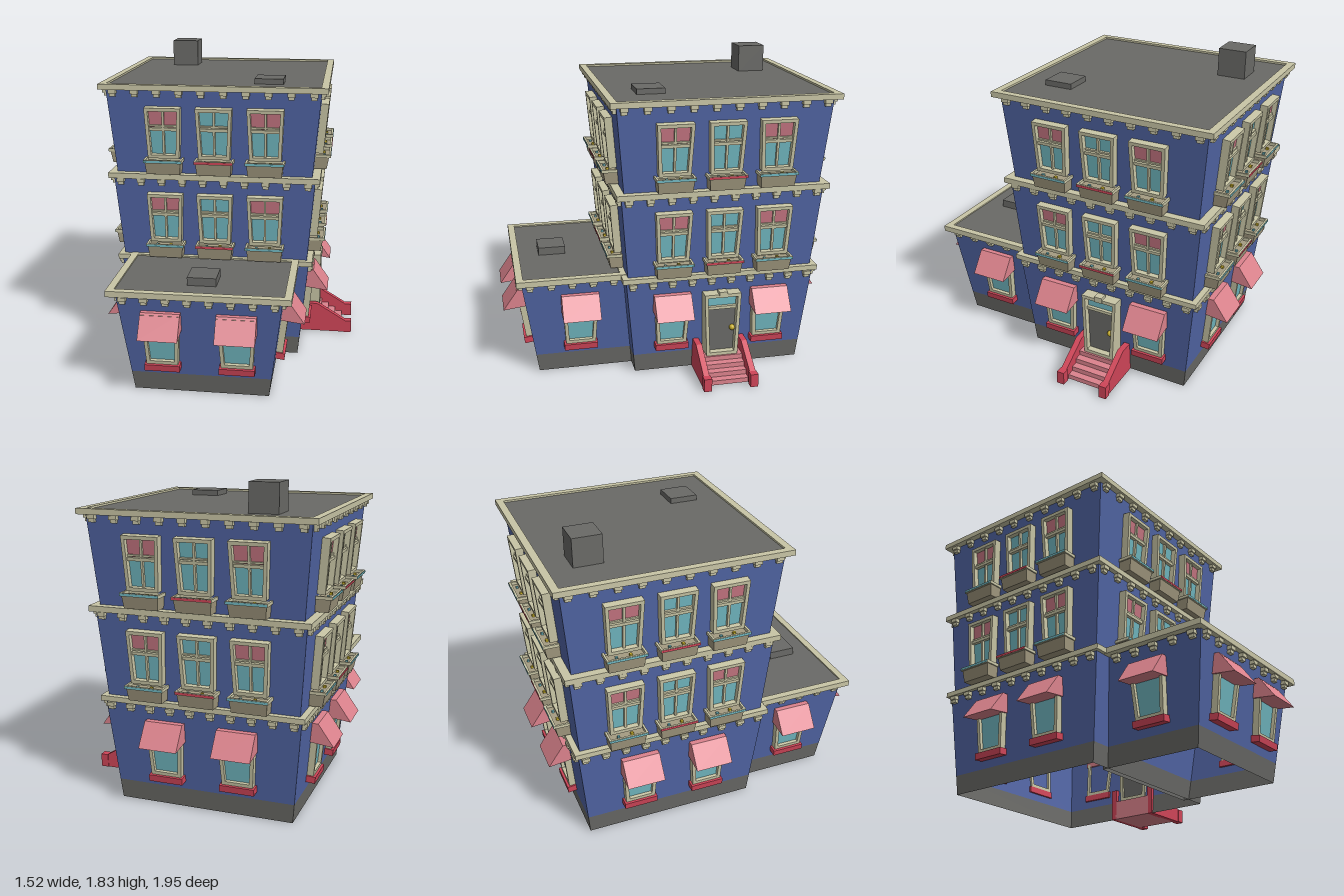
import * as THREE from 'three';

const mat = (name, color, side = THREE.FrontSide) => {
  const m = new THREE.MeshStandardMaterial({ color, side });
  m.name = name;
  return m;
};
const blue = mat('blue wall', 0x5266a6, THREE.DoubleSide);
const grey = mat('grey stone', 0x6a6a67, THREE.DoubleSide);
const cream = mat('cream trim', 0xc9c6a6);
const tan = mat('tan planter', 0xa59c82);
const teal = mat('teal glass', 0x72b9c2);
const pink = mat('pink awning', 0xdc838d);
const rose = mat('rose curtain', 0xc67682);
const red = mat('red paint', 0xcf4558);
const gold = mat('gold', 0xc9b02c);

const CX = -0.06, CZ = -0.275;

function add(parent, name, geo, material, x = 0, y = 0, z = 0) {
  const m = new THREE.Mesh(geo, material);
  m.name = name;
  m.position.set(x, y, z);
  parent.add(m);
  return m;
}
const box = (parent, name, material, w, h, d, x, y, z) =>
  add(parent, name, new THREE.BoxGeometry(w, h, d), material, x, y, z);

// Four leaning walls with a lid and an open underside; rect = [x0, x1, z0, z1]
function taperedWalls(parent, name, material, y0, y1, low, high) {
  const g = new THREE.BoxGeometry(1, 1, 1);
  const p = g.attributes.position;
  for (let i = 0; i < p.count; i++) {
    const up = p.getY(i) > 0, r = up ? high : low;
    p.setXYZ(i, p.getX(i) < 0 ? r[0] : r[1], up ? y1 : y0, p.getZ(i) < 0 ? r[2] : r[3]);
  }
  const idx = Array.from(g.index.array);
  g.setIndex([...idx.slice(0, 18), ...idx.slice(24)]);
  g.clearGroups();
  g.computeVertexNormals();
  return add(parent, name, g, material);
}

const trapezoid = (path, wLow, wHigh, y0, y1) => {
  path.moveTo(-wLow / 2, y0);
  path.lineTo(wLow / 2, y0);
  path.lineTo(wHigh / 2, y1);
  path.lineTo(-wHigh / 2, y1);
  path.closePath();
  return path;
};
function frameGeo(wLow, wHigh, h, border, depth) {
  const s = trapezoid(new THREE.Shape(), wLow, wHigh, 0, h);
  s.holes.push(trapezoid(new THREE.Path(), wLow - 2 * border, wHigh - 2 * border, border, h - border));
  return new THREE.ExtrudeGeometry(s, { depth, bevelEnabled: false });
}
const plateGeo = (wLow, wHigh, y0, y1, depth = 0.006) =>
  new THREE.ExtrudeGeometry(trapezoid(new THREE.Shape(), wLow, wHigh, y0, y1), { depth, bevelEnabled: false });

// Rectangular rim with an open middle, lying flat
function rim(parent, name, x0, x1, z0, z1, y0, y1, border) {
  const s = trapezoid(new THREE.Shape(), x1 - x0, x1 - x0, -(z1 - z0) / 2, (z1 - z0) / 2);
  const w = x1 - x0 - 2 * border, d = (z1 - z0) / 2 - border;
  s.holes.push(trapezoid(new THREE.Path(), w, w, -d, d));
  const g = new THREE.ExtrudeGeometry(s, { depth: y1 - y0, bevelEnabled: false }).rotateX(-Math.PI / 2);
  add(parent, name, g, cream, (x0 + x1) / 2, y0, (z0 + z1) / 2);
}

// Leaning floors: half width at the foot and at the head
const square = (y0, y1, a, b) => ({ y0, y1, cx: CX, cz: CZ, low: [a, a], high: [b, b] });
const ground = square(0, 0.605, 0.51, 0.568);
const second = square(0.63, 1.125, 0.556, 0.596);
const third = square(1.15, 1.655, 0.578, 0.622);
const annex = { y0: 0, y1: 0.605, cx: CX, cz: 0.55, low: [0.385, 0.25], high: [0.46, 0.34] };

const FRONT = 0, LEFT = Math.PI / 2, BACK = Math.PI, RIGHT = -Math.PI / 2;
const SIDES = [FRONT, LEFT, BACK, RIGHT];

// Group set on a wall at offset u and height y, leaning with it; local +z points outwards
function onWall(parent, name, f, angle, u, y, lean = true) {
  const k = Math.abs(Math.sin(angle)) > 0.5 ? 0 : 1;
  const half = THREE.MathUtils.mapLinear(y, f.y0, f.y1, f.low[k], f.high[k]);
  const g = new THREE.Group();
  g.name = name;
  const s = Math.sin(angle), c = Math.cos(angle);
  g.position.set(f.cx + s * half + c * u, y, f.cz + c * half - s * u);
  g.rotation.order = 'YXZ';
  g.rotation.y = angle;
  if (lean) g.rotation.x = Math.atan((f.high[k] - f.low[k]) / (f.y1 - f.y0));
  parent.add(g);
  return g;
}

// Sash window with curtain, sill and planter
function sashWindow(parent, f, angle, u, y, middle) {
  const g = onWall(parent, 'sashWindow', f, angle, u, y);
  add(g, 'frame', frameGeo(0.185, 0.212, 0.3, 0.02, 0.057), cream, 0, 0, -0.012);
  add(g, 'glass', plateGeo(0.16, 0.185, 0.01, 0.29), teal, 0, 0, 0.008);
  if (!middle) add(g, 'curtain', plateGeo(0.166, 0.18, 0.18, 0.285), rose, 0, 0, 0.011);
  box(g, 'meetingRail', cream, 0.17, 0.018, 0.026, 0, 0.172, 0.022);
  box(g, 'mullion', cream, 0.013, 0.28, 0.02, 0, 0.145, 0.02);
  box(g, 'upperBar', cream, 0.17, 0.01, 0.018, 0, 0.19, 0.018);

  const p = onWall(parent, 'planter', f, angle, u, y - 0.095, false);
  taperedWalls(p, 'planterBox', tan, 0, 0.07, [-0.098, 0.098, -0.01, 0.075], [-0.105, 0.105, -0.01, 0.088]);
  box(p, 'planterBottom', tan, 0.196, 0.004, 0.085, 0, 0.002, 0.0325);
  rim(p, 'planterRim', -0.113, 0.113, -0.005, 0.098, 0.07, 0.088, 0.012);
  box(p, 'paintedEdge', middle ? red : teal, 0.222, 0.012, 0.004, 0, 0.079, 0.098);
  box(p, 'yellowFlower', gold, 0.016, 0.012, 0.016, 0.03, 0.076, 0.055);
  box(p, 'tealFlower', teal, 0.014, 0.012, 0.014, -0.05, 0.076, 0.06);
}

// Shop window with red sill and sloping awning
function awningWindow(parent, f, angle, u) {
  const g = onWall(parent, 'awningWindow', f, angle, u, 0.16);
  box(g, 'sill', red, 0.2, 0.038, 0.065, 0, 0.019, 0.02);
  const fr = frameGeo(0.178, 0.215, 0.315, 0.02, 0.05);
  add(g, 'frame', fr, cream, 0, 0.038, -0.012);
  add(g, 'glass', plateGeo(0.15, 0.185, 0.05, 0.34), teal, 0, 0, 0.012);

  const a = onWall(parent, 'awning', f, angle, u, 0.4, false);
  const s = new THREE.Shape();
  [[-0.01, 0.005], [0.135, -0.013], [0.045, 0.115], [-0.01, 0.115]].forEach(
    ([x, y], i) => (i ? s.lineTo(x, y) : s.moveTo(x, y)));
  const geo = new THREE.ExtrudeGeometry(s, { depth: 0.222, bevelEnabled: false });
  add(a, 'awningCloth', geo.rotateY(-Math.PI / 2).translate(0.111, 0, 0), pink);
}

// Row of stepped brackets under a cornice
const bracketTop = new THREE.BoxGeometry(0.044, 0.022, 0.05);
const bracketFoot = new THREE.BoxGeometry(0.034, 0.018, 0.032);
function brackets(parent, f, angle, from, to, n) {
  for (let i = 0; i < n; i++) {
    const b = onWall(parent, 'bracket', f, angle, from + ((to - from) * i) / (n - 1), f.y1 - 0.008, false);
    add(b, 'bracketTop', bracketTop, cream, 0, -0.01, 0.002);
    add(b, 'bracketFoot', bracketFoot, cream, 0, -0.03, 0.001);
  }
}

export function createModel() {
  const model = new THREE.Group();
  model.name = 'townHouse';

  // Walls of every floor, with a stone plinth at the foot
  const rect = (f, y) => {
    const [hx, hz] = [0, 1].map((k) => THREE.MathUtils.mapLinear(y, f.y0, f.y1, f.low[k], f.high[k]));
    return [f.cx - hx, f.cx + hx, f === annex ? 0.2 : f.cz - hz, f.cz + hz];
  };
  const walls = (name, material, f, y0, y1) =>
    taperedWalls(model, name, material, y0, y1, rect(f, y0), rect(f, y1));
  for (const f of [ground, annex]) {
    const plinth = walls('plinth', grey, f, 0, 0.113);
    const idx = Array.from(plinth.geometry.index.array);
    plinth.geometry.setIndex([...idx.slice(0, 12), ...idx.slice(18)]);
    walls('groundWalls', blue, f, 0.113, 0.61);
  }
  walls('secondFloorWalls', blue, second, 0.62, 1.13);
  walls('thirdFloorWalls', blue, third, 1.14, 1.66);

  // Cornices and roofs
  box(model, 'groundCornice', cream, 1.18, 0.03, 1.18, CX, 0.618, CZ);
  box(model, 'secondCornice', cream, 1.25, 0.032, 1.25, CX, 1.136, CZ);
  rim(model, 'roofCornice', CX - 0.66, CX + 0.66, CZ - 0.66, CZ + 0.66, 1.65, 1.682, 0.042);
  box(model, 'mainRoof', grey, 1.25, 0.012, 1.25, CX, 1.665, CZ);
  rim(model, 'annexCornice', CX - 0.51, CX + 0.51, 0.27, 0.92, 0.602, 0.636, 0.042);
  box(model, 'annexRoof', grey, 0.95, 0.012, 0.58, CX, 0.622, 0.595);
  for (const a of SIDES) {
    if (a !== FRONT) brackets(model, ground, a, -0.53, 0.53, 10);
    brackets(model, second, a, -0.555, 0.555, 10);
    brackets(model, third, a, -0.58, 0.58, 10);
  }
  brackets(model, annex, FRONT, -0.42, 0.42, 8);
  brackets(model, annex, LEFT, -0.29, 0.2, 5);
  brackets(model, annex, RIGHT, -0.2, 0.29, 5);

  // Chimney and roof hatches
  box(model, 'chimney', grey, 0.165, 0.17, 0.165, -0.385, 1.748, -0.678);
  box(model, 'roofHatch', grey, 0.168, 0.035, 0.165, 0.25, 1.685, 0.11);
  box(model, 'annexHatch', grey, 0.165, 0.05, 0.165, -0.062, 0.65, 0.675);

  // Three windows on each side of both upper floors
  for (const a of SIDES)
    for (const i of [-1, 0, 1]) {
      const u = i * 0.297 + (a === FRONT ? 0.01 : 0);
      sashWindow(model, second, a, u, 0.735, i === 0);
      sashWindow(model, third, a, u, 1.255, i === 0);
    }

  // Ground floor windows
  for (const i of [-1, 1]) {
    awningWindow(model, annex, FRONT, i * 0.21);
    awningWindow(model, ground, LEFT, i * 0.295);
    awningWindow(model, ground, BACK, i * 0.21);
    awningWindow(model, ground, RIGHT, i * 0.21);
  }
  awningWindow(model, annex, LEFT, 0);
  awningWindow(model, annex, RIGHT, 0);

  // Entrance door
  const door = onWall(model, 'entrance', ground, LEFT, 0, 0.115, false);
  add(door, 'doorFrame', frameGeo(0.19, 0.222, 0.395, 0.02, 0.12), cream, 0, 0, -0.012);
  add(door, 'doorPanel', plateGeo(0.155, 0.18, 0, 0.3, 0.07), grey);
  box(door, 'transomBar', cream, 0.19, 0.018, 0.085, 0, 0.3, 0.042);
  add(door, 'transomGlass', plateGeo(0.18, 0.185, 0.305, 0.38, 0.065), teal);
  box(door, 'keystone', cream, 0.05, 0.035, 0.05, 0, 0.395, 0.09);
  add(door, 'knob', new THREE.SphereGeometry(0.018, 12, 8), gold, 0.065, 0.165, 0.082);

  // Steps between sloping side walls with end posts
  for (let i = 0; i < 4; i++) {
    const h = 0.115 - i * 0.029, end = 0.58 + i * 0.045;
    box(model, 'step', pink, end - 0.44, h, 0.26, (end + 0.44) / 2, h / 2, CZ);
  }
  const side = new THREE.Shape();
  [[0.44, 0], [0.74, 0], [0.74, 0.078], [0.555, 0.19], [0.44, 0.19]].forEach(
    ([x, y], i) => (i ? side.lineTo(x, y) : side.moveTo(x, y)));
  const sideGeo = new THREE.ExtrudeGeometry(side, { depth: 0.036, bevelEnabled: false });
  for (const s of [-1, 1]) {
    add(model, 'stairSide', sideGeo, red, 0, 0, CZ + s * 0.14 - 0.018);
    box(model, 'stairPost', red, 0.046, 0.08, 0.046, 0.757, 0.04, CZ + s * 0.14);
  }
  return model;
}
